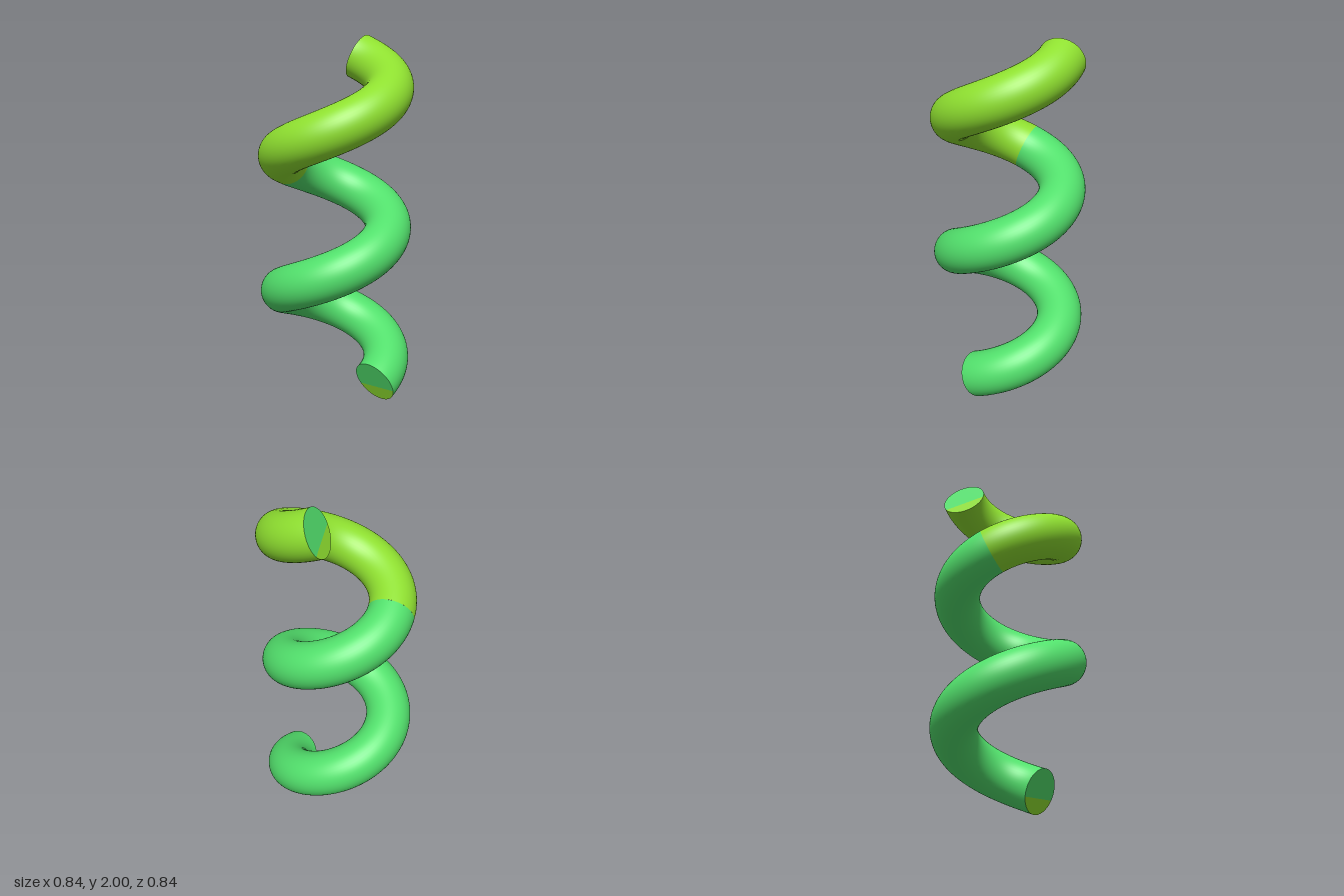
import * as THREE from 'three';

const RADIUS = 0.2925;   // helix centre line
const TUBE = 0.1275;     // wire thickness
const PITCH = 0.77;
const START = -41, SPLIT = 515, END = 784; // degrees along the helix
const BASE_Y = 0.2054;   // height at angle zero
const rad = THREE.MathUtils.degToRad;

class Helix extends THREE.Curve {
  constructor(from, to) {
    super();
    this.from = from;
    this.to = to;
  }
  getPoint(u, target = new THREE.Vector3()) {
    const deg = this.from + (this.to - this.from) * u;
    const a = rad(deg);
    return target.set(RADIUS * Math.cos(a), BASE_Y + PITCH * deg / 360, -RADIUS * Math.sin(a));
  }
}

export function createModel() {
  const group = new THREE.Group();
  group.name = 'spiralSpring';

  const green = new THREE.MeshStandardMaterial({ color: 0x52e06c });
  green.name = 'green';
  const lime = new THREE.MeshStandardMaterial({ color: 0x8fe030 });
  lime.name = 'lime';

  function add(name, geometry, material) {
    const mesh = new THREE.Mesh(geometry, material);
    mesh.name = name;
    group.add(mesh);
  }

  // Coiled wire in two colours
  function coil(name, from, to, material) {
    const segments = Math.round((to - from) / 3);
    add(name, new THREE.TubeGeometry(new Helix(from, to), segments, TUBE, 48), material);
  }
  coil('lowerCoil', START, SPLIT, green);
  coil('upperCoil', SPLIT, END, lime);

  // Flat end discs, each divided by a chord into a green and a lime part
  function cap(name, deg, side, limeFrom, limeTo) {
    const a = rad(deg);
    const slope = Math.atan(PITCH / (2 * Math.PI * RADIUS));
    const out = new THREE.Vector3(Math.cos(a), 0, -Math.sin(a)).multiplyScalar(side);
    const normal = new THREE.Vector3(
      -Math.sin(a) * Math.cos(slope), Math.sin(slope), -Math.cos(a) * Math.cos(slope)
    ).multiplyScalar(-side);
    const up = new THREE.Vector3().crossVectors(normal, out);
    const place = new THREE.Matrix4().makeBasis(out, up, normal)
      .setPosition(new Helix(deg, deg).getPoint(0));
    const segment = (from, to) => {
      const shape = new THREE.Shape();
      shape.absarc(0, 0, TUBE, rad(from), rad(to), false);
      return new THREE.ShapeGeometry(shape, 32).applyMatrix4(place);
    };
    add(name + 'Lime', segment(limeFrom, limeTo), lime);
    add(name + 'Green', segment(limeTo, limeFrom + 360), green);
  }
  cap('bottomEnd', START, 1, 204, 349);
  cap('topEnd', END, -1, 217, 356);

  return group;
}
